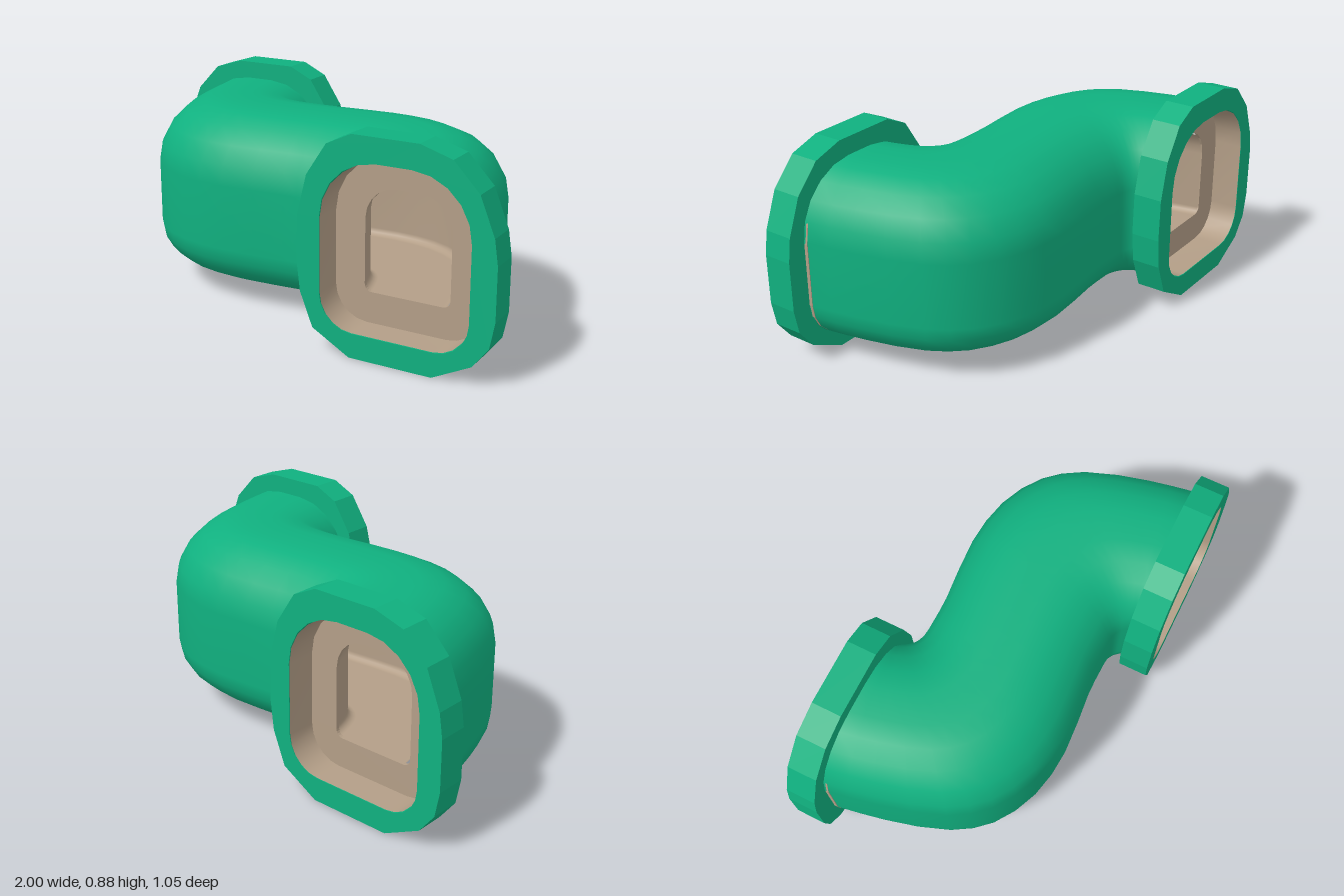
import * as THREE from 'three';

const green = new THREE.MeshStandardMaterial({ color: 0x10b07f });
green.name = 'green';
const tan = new THREE.MeshStandardMaterial({ color: 0xb39e87 });
tan.name = 'tan';

// Rounded rectangle, counter-clockwise, with softer corners at the top
function roundedProfile(x0, x1, y0, y1, rTop, rBottom, segs = 5) {
  const corners = [
    [x1 - rBottom, y0 + rBottom, rBottom, -Math.PI / 2],
    [x1 - rTop, y1 - rTop, rTop, 0],
    [x0 + rTop, y1 - rTop, rTop, Math.PI / 2],
    [x0 + rBottom, y0 + rBottom, rBottom, Math.PI],
  ];
  const pts = [];
  for (const [cx, cy, r, start] of corners) {
    for (let i = 0; i <= segs; i++) {
      const a = start + (i / segs) * Math.PI / 2;
      pts.push(new THREE.Vector2(cx + r * Math.cos(a), cy + r * Math.sin(a)));
    }
  }
  return pts;
}

// Skin joining closed rings of points; inward turns the faces inside
function loft(rings, inward = false) {
  const n = rings[0].length, pos = [], idx = [];
  for (const ring of rings) for (const p of ring) pos.push(p.x, p.y, p.z);
  for (let k = 0; k < rings.length - 1; k++) {
    for (let j = 0; j < n; j++) {
      const a = k * n + j, b = k * n + (j + 1) % n, c = a + n, d = b + n;
      if (inward) idx.push(a, b, c, b, d, c);
      else idx.push(a, c, b, b, c, d);
    }
  }
  const g = new THREE.BufferGeometry();
  g.setAttribute('position', new THREE.Float32BufferAttribute(pos, 3));
  g.setIndex(idx);
  g.computeVertexNormals();
  return g;
}

// One side wall of the S-bend in plan (x, z); the other is its half-turn
const wall = new THREE.CatmullRomCurve3([
  [0.915, 0.4], [0.875, 0.19], [0.79, -0.08], [0.68, -0.23], [0.5, -0.33],
  [0.28, -0.363], [0, -0.342], [-0.12, -0.343], [-0.18, -0.347],
  [-0.215, -0.362], [-0.233, -0.38], [-0.243, -0.391], [-0.25, -0.4],
].map(([x, z]) => new THREE.Vector3(x, 0, z)));

// Sections stretched between the two walls
function bendRings(profile, halfWidth, steps = 24) {
  const rings = [];
  for (let i = 0; i <= steps; i++) {
    const right = wall.getPoint(i / steps);
    const left = wall.getPoint(1 - i / steps).negate();
    rings.push(profile.map((p) => {
      const v = left.clone().lerp(right, 0.5 + p.x / (2 * halfWidth));
      v.y = p.y;
      return v;
    }));
  }
  return rings;
}

function mesh(name, geometry, material) {
  const m = new THREE.Mesh(geometry, material);
  m.name = name;
  return m;
}

function extrude(outline, hole, depth, z) {
  const shape = new THREE.Shape(outline);
  shape.holes.push(new THREE.Path(hole));
  return new THREE.ExtrudeGeometry(shape, { depth, bevelEnabled: false }).translate(0, 0, z);
}

// Flange, lined recess and recess floor at the front end
function createEnd() {
  const end = new THREE.Group();
  const outline = [
    [0.41, 0], [0.757, 0], [0.915, 0.08], [0.98, 0.165], [1, 0.27], [1, 0.48],
    [0.985, 0.58], [0.925, 0.73], [0.82, 0.84], [0.69, 0.88], [0.415, 0.88],
    [0.31, 0.83], [0.225, 0.7], [0.185, 0.54], [0.18, 0.36], [0.195, 0.23], [0.25, 0.09],
  ].map(([x, y]) => new THREE.Vector2(x, y));
  const opening = roundedProfile(0.28, 0.9, 0.1, 0.78, 0.24, 0.14);
  end.add(mesh('flange', extrude(outline, opening, 0.125, 0.4), green));

  const lining = roundedProfile(0.283, 0.897, 0.103, 0.777, 0.238, 0.138);
  const rings = [0.525, 0.4].map((z) => lining.map((p) => new THREE.Vector3(p.x, p.y, z)));
  end.add(mesh('recessLining', loft(rings, true), tan));

  const floor = roundedProfile(0.25, 0.915, 0.082, 0.798, 0.27, 0.18);
  const hole = roundedProfile(0.41, 0.77, 0.23, 0.655, 0.13, 0.03);
  end.add(mesh('recessFloor', extrude(floor, hole, 0.015, 0.385), tan));
  return end;
}

export function createModel() {
  const model = new THREE.Group();
  model.name = 'pipeBend';

  const outer = roundedProfile(-0.3325, 0.3325, 0.08, 0.805, 0.27, 0.18);
  model.add(mesh('pipe', loft(bendRings(outer, 0.3325)), green));

  const inner = roundedProfile(-0.175, 0.185, 0.23, 0.655, 0.13, 0.03);
  model.add(mesh('tunnel', loft(bendRings(inner, 0.3325), true), tan));

  // Matching ends, half a turn apart
  for (const [name, turn] of [['frontEnd', 0], ['backEnd', Math.PI]]) {
    const end = createEnd();
    end.name = name;
    end.rotation.y = turn;
    model.add(end);
  }
  return model;
}
